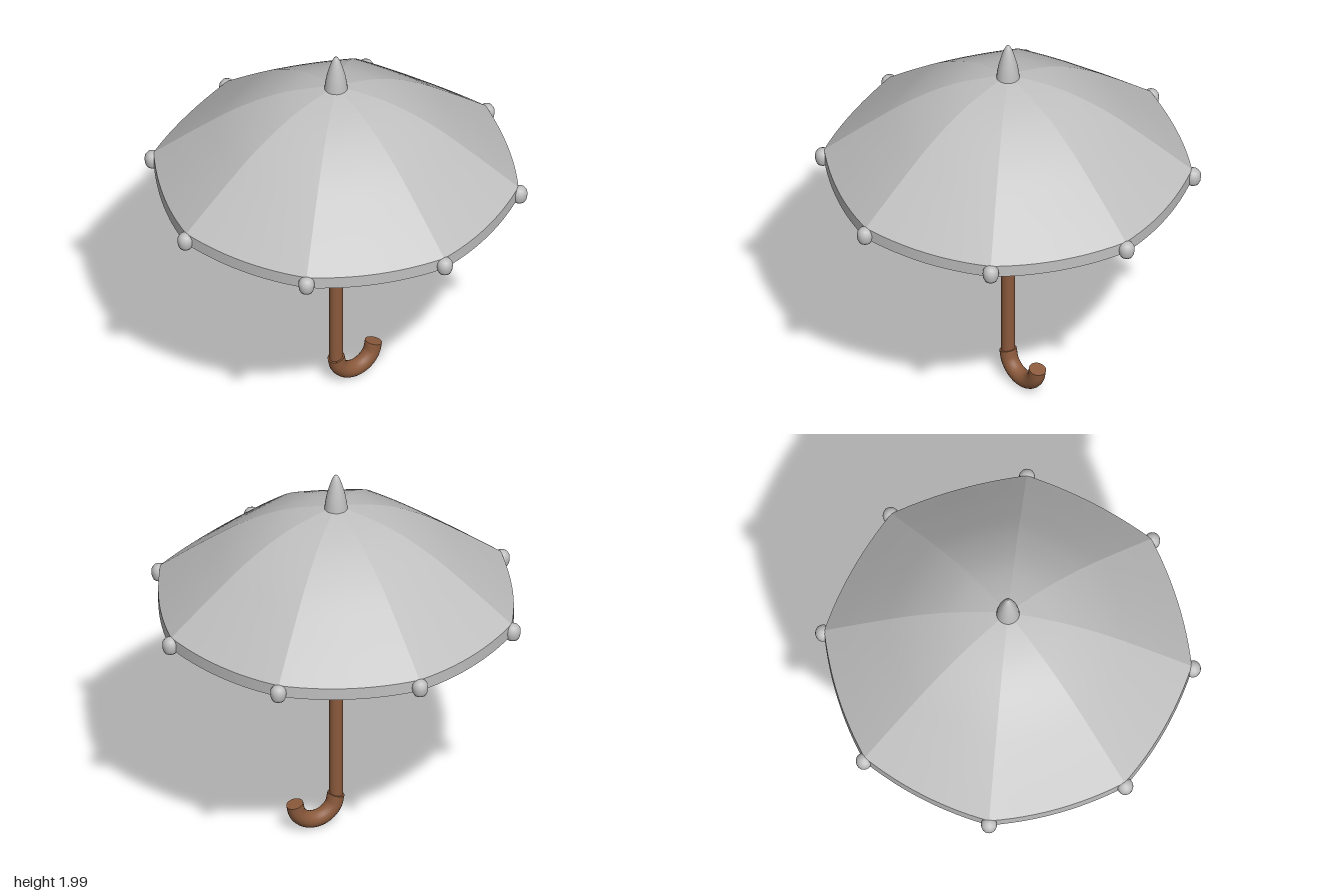
import * as THREE from 'three';
import { mergeGeometries } from 'three/addons/utils/BufferGeometryUtils.js';

const RIBS = 8, STEP = (Math.PI * 2) / RIBS, RIM_DROP = 0.063;

// Rib curve, from the crown (radius 0) to the rim
const rib = new THREE.CatmullRomCurve3(
  [[0, 1.815], [0.06, 1.808], [0.275, 1.745], [0.487, 1.632], [0.7, 1.475], [0.91, 1.308]]
    .map(([r, y]) => new THREE.Vector3(r, y, 0)), false, 'centripetal');

// Point on one canopy panel: s runs crown to rim, t from rib to rib
function panelPoint(s, t, dy = 0) {
  const p = rib.getPoint(s);
  const hump = 4 * t * (1 - t);
  const mid = STEP / 2, bulge = 0.035 * hump;
  const x = 1 - t + t * Math.cos(STEP) + bulge * Math.cos(mid);
  const z = t * Math.sin(STEP) + bulge * Math.sin(mid);
  return [p.x * x, p.y + dy - 0.014 * hump * s * s, p.x * z];
}

// Smooth grid surface; its front faces along du x dv
function patch(f, nu, nv) {
  const pos = [], index = [];
  for (let i = 0; i <= nu; i++)
    for (let j = 0; j <= nv; j++) pos.push(...f(i / nu, j / nv));
  for (let i = 0; i < nu; i++)
    for (let j = 0; j < nv; j++) {
      const a = i * (nv + 1) + j, b = a + nv + 1;
      index.push(a, b, a + 1, b, b + 1, a + 1);
    }
  const g = new THREE.BufferGeometry();
  g.setAttribute('position', new THREE.Float32BufferAttribute(pos, 3));
  g.setIndex(index);
  g.computeVertexNormals();
  return g;
}

const lathe = (points, segments) =>
  new THREE.LatheGeometry(points.map(([r, y]) => new THREE.Vector2(r, y)), segments);

export function createModel() {
  const model = new THREE.Group();
  model.name = 'umbrella';
  const grey = new THREE.MeshStandardMaterial({ color: 0xc0c0c0 });
  grey.name = 'light grey';
  const brown = new THREE.MeshStandardMaterial({ color: 0x8b5a3c });
  brown.name = 'wood brown';

  const add = (name, geometry, material, parent = model) => {
    const mesh = new THREE.Mesh(geometry, material);
    mesh.name = name;
    parent.add(mesh);
    return mesh;
  };

  // Canopy panels: upper skin, hanging rim and underside, creased at each rib
  const panel = mergeGeometries([
    patch((t, s) => panelPoint(s, t), 12, 24),
    patch((t, d) => panelPoint(1, t, -RIM_DROP * d), 12, 1),
    patch((s, t) => panelPoint(s, t, -RIM_DROP), 24, 12),
  ]);
  // Rib end bead with a flattened bottom
  const bead = lathe([[0, 1.228], [0.03, 1.23], [0.037, 1.245], [0.04, 1.268],
    [0.038, 1.287], [0.028, 1.302], [0.014, 1.309], [0, 1.311]], 20);

  const canopy = new THREE.Group();
  canopy.name = 'canopy';
  const beads = new THREE.Group();
  beads.name = 'ribTips';
  model.add(canopy, beads);
  for (let i = 0; i < RIBS; i++) {
    const a = i * STEP;
    add('canopyPanel', panel, grey, canopy).rotation.y = a;
    add('ribTip', bead, grey, beads).position.set(0.915 * Math.cos(a), 0, 0.915 * Math.sin(a));
  }

  // Finial on the crown
  add('finial', lathe([[0, 1.8], [0.058, 1.8], [0.058, 1.8], [0.054, 1.84], [0.046, 1.885],
    [0.034, 1.93], [0.022, 1.968], [0.01, 1.992], [0, 2]], 24), grey);

  // Shaft
  const shaft = add('shaft', new THREE.CylinderGeometry(0.034, 0.034, 1.64, 20), brown);
  shaft.position.y = 0.96;

  // Hooked handle with closed ends
  const R = 0.114, r = 0.043;
  const hook = new THREE.CatmullRomCurve3(Array.from({ length: 7 }, (_, i) => {
    const a = Math.PI + (i * Math.PI) / 6;
    return new THREE.Vector3(R + R * Math.cos(a), 0.165 + R * Math.sin(a), 0);
  }));
  const handle = new THREE.Group();
  handle.name = 'handle';
  model.add(handle);
  add('handleHook', new THREE.TubeGeometry(hook, 32, r, 20), brown, handle);
  for (const end of [0, 1]) {
    const cap = add('handleEnd', new THREE.CircleGeometry(r, 20), brown, handle);
    const outward = hook.getTangent(end).multiplyScalar(end ? 1 : -1);
    cap.position.copy(hook.getPoint(end));
    cap.quaternion.setFromUnitVectors(new THREE.Vector3(0, 0, 1), outward);
  }
  return model;
}
